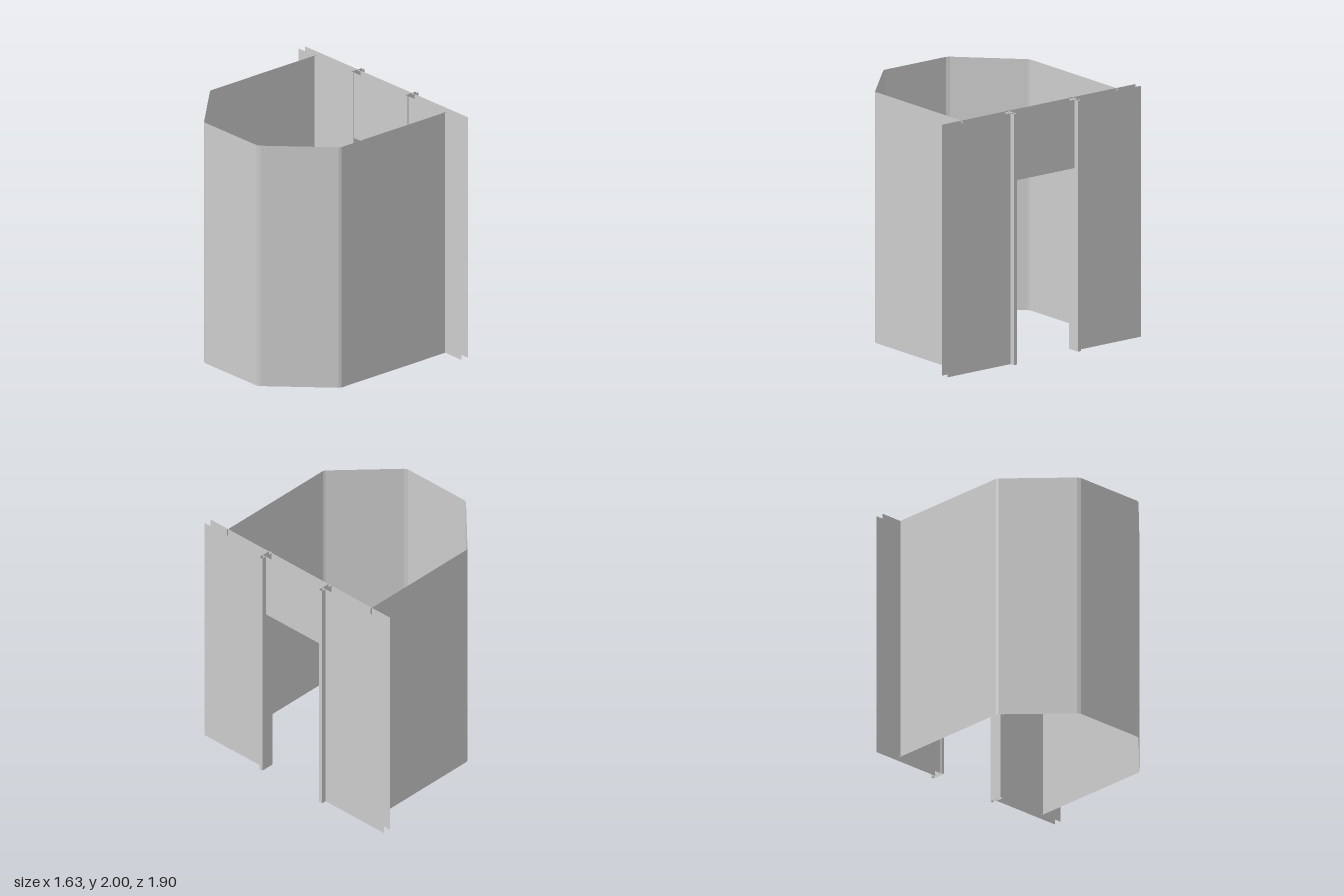
import * as THREE from 'three';

const HEIGHT = 2;
const DOOR_HEIGHT = 1.455;
const material = new THREE.MeshStandardMaterial({ color: 0xcccccc, side: THREE.DoubleSide, flatShading: true });

// Thin upright sheet running between two plan points [x, z]
function sheet(name, [x1, z1], [x2, z2], y0 = 0, y1 = HEIGHT) {
  const geometry = new THREE.PlaneGeometry(Math.hypot(x2 - x1, z2 - z1), y1 - y0);
  const mesh = new THREE.Mesh(geometry, material);
  mesh.name = name;
  mesh.position.set((x1 + x2) / 2, (y0 + y1) / 2, (z1 + z2) / 2);
  mesh.rotation.y = Math.atan2(z1 - z2, x2 - x1);
  return mesh;
}

export function createModel() {
  const model = new THREE.Group();
  model.name = 'enclosure';

  // Back wall
  model.add(sheet('backWall', [-0.815, -0.3], [-0.815, 0.3]));

  for (const s of [1, -1]) {
    // Angled and side walls, joined by narrow corner strips
    const outline = [
      ['backCornerStrip', [-0.815, 0.3], [-0.8, 0.328]],
      ['angledWall', [-0.8, 0.328], [-0.37, 0.75]],
      ['sideCornerStrip', [-0.37, 0.75], [-0.35, 0.76]],
      ['sideWall', [-0.35, 0.76], [0.703, 0.76]],
      ['frontCornerStrip', [0.703, 0.76], [0.724, 0.76]],
    ];
    for (const [name, a, b] of outline) {
      model.add(sheet(name, [a[0], a[1] * s], [b[0], b[1] * s]));
    }

    // Open-ended rectangular door post
    const post = new THREE.Group();
    post.name = 'doorPost';
    const ring = [[0.703, 0.3], [0.815, 0.3], [0.815, 0.33], [0.703, 0.33]];
    ring.forEach((p, i) => {
      const q = ring[(i + 1) % ring.length];
      post.add(sheet('postFace', [p[0], p[1] * s], [q[0], q[1] * s]));
    });
    model.add(post);
  }

  // Double-skinned door wall with lintel above the opening
  for (const x of [0.71, 0.775]) {
    for (const s of [1, -1]) model.add(sheet('doorWall', [x, 0.32 * s], [x, 0.95 * s]));
    model.add(sheet('lintel', [x, -0.32], [x, 0.32], DOOR_HEIGHT, HEIGHT));
  }

  // Underside of the lintel
  const soffit = new THREE.Mesh(new THREE.PlaneGeometry(0.065, 0.64), material);
  soffit.name = 'lintelSoffit';
  soffit.rotation.x = Math.PI / 2;
  soffit.position.set(0.7425, DOOR_HEIGHT, 0);
  model.add(soffit);

  return model;
}
